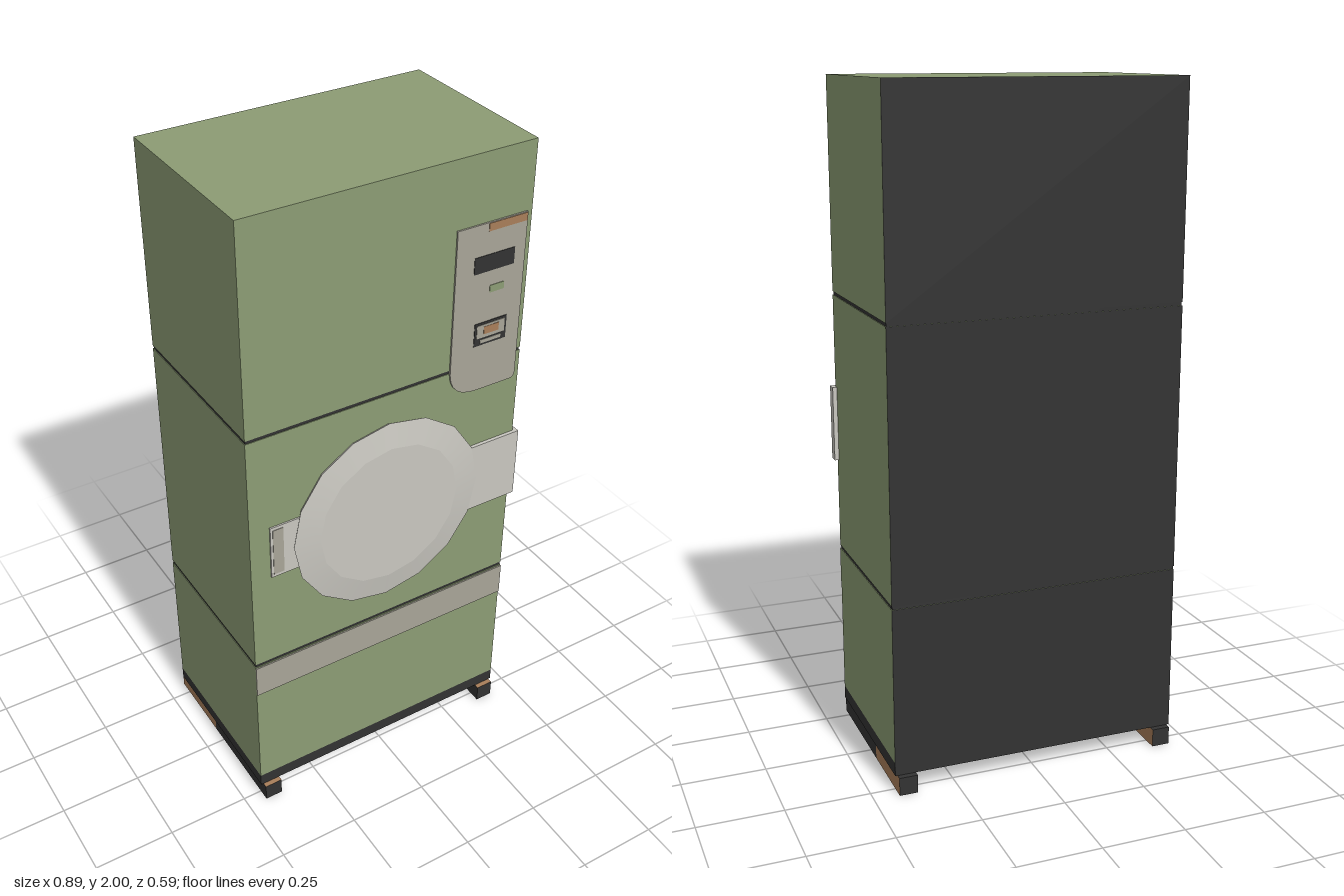
import * as THREE from 'three';

const mat = (name, color) => {
  const m = new THREE.MeshStandardMaterial({ color });
  m.name = name;
  return m;
};

export function createModel() {
  const green = mat('green enamel', 0x8c9c74);
  const dark = mat('dark metal', 0x333333);
  const pale = mat('pale door', 0xc9c7c0);
  const grey = mat('warm grey', 0xa8a598);
  const brown = mat('brown', 0xa87e5a);

  const model = new THREE.Group();
  model.name = 'tumbleDryer';

  const add = (name, geometry, material, parent = model) => {
    const mesh = new THREE.Mesh(geometry, material);
    mesh.name = name;
    parent.add(mesh);
    return mesh;
  };
  // Box given by its limits on each axis
  const box = (name, [x0, x1], [y0, y1], [z0, z1], material, parent) => {
    const mesh = add(name, new THREE.BoxGeometry(x1 - x0, y1 - y0, z1 - z0), material, parent);
    mesh.position.set((x0 + x1) / 2, (y0 + y1) / 2, (z0 + z1) / 2);
    return mesh;
  };

  const X = [-0.448, 0.432];
  const Z = [-0.275, 0.27];
  const inset = ([a, b]) => [a + 0.002, b - 0.002];

  // Cabinet: three green sections with dark backs, over a core that shows in the seams
  const section = [green, green, green, dark, green, dark];
  box('lowerCabinet', X, [0.095, 0.564], Z, section);
  box('middleCabinet', X, [0.574, 1.363], Z, section);
  box('upperCabinet', X, [1.373, 2], Z, section);
  box('seamCore', inset(X), [0.09, 1.9], inset(Z), dark);
  box('plinth', X, [0.055, 0.095], Z, dark);

  // Foot rails: sides brown at the rear, top and underside brown at the front
  for (const [side, x] of [['right', [-0.44, -0.385]], ['left', [0.37, 0.425]]]) {
    const rail = new THREE.Group();
    rail.name = side + 'FootRail';
    model.add(rail);
    box('railFront', x, [0, 0.055], [-0.055, 0.286], [dark, dark, brown, brown, dark, dark], rail);
    box('railRear', x, [0, 0.055], [-0.293, -0.055], [brown, brown, dark, dark, dark, dark], rail);
  }

  // Kick strip
  box('kickStrip', X, [0.452, 0.56], [0.269, 0.274], grey);

  // Round door: rim and bevelled face
  const door = new THREE.Group();
  door.name = 'door';
  door.position.set(-0.008, 0.967, 0);
  model.add(door);
  const disc = (name, rFront, rBack, z0, z1) => {
    const mesh = add(name, new THREE.CylinderGeometry(rFront, rBack, z1 - z0, 16), pale, door);
    mesh.rotation.x = Math.PI / 2;
    mesh.position.z = (z0 + z1) / 2;
  };
  disc('doorRim', 0.309, 0.3, 0.268, 0.281);
  disc('doorBevel', 0.23, 0.309, 0.281, 0.293);

  // Hinge plate wrapping round the cabinet edge
  box('hingePlate', [0.2, 0.446], [0.855, 1.083], [0.268, 0.2805], pale);
  box('hingeWrap', [0.433, 0.446], [0.855, 1.083], [0.25, 0.269], pale);

  // Door latch
  box('latchPlate', [-0.386, -0.29], [0.887, 1.062], [0.268, 0.275], pale);
  box('latchGrip', [-0.379, -0.346], [0.897, 1.052], [0.273, 0.2765], grey);

  // Control panel with rounded lower corners
  const s = new THREE.Shape();
  s.moveTo(0.19, 1.8);
  s.lineTo(0.19, 1.36);
  s.quadraticCurveTo(0.195, 1.28, 0.285, 1.28);
  s.lineTo(0.4, 1.28);
  s.quadraticCurveTo(0.416, 1.28, 0.416, 1.3);
  s.lineTo(0.416, 1.8);
  const panel = add('controlPanel',
    new THREE.ExtrudeGeometry(s, { depth: 0.006, bevelEnabled: false, curveSegments: 6 }), grey);
  panel.position.z = 0.269;

  // Painted panel details
  const paint = (name, x, y, material, top = 0.2765) => box(name, x, y, [0.274, top], material);
  paint('panelTopStripe', [0.29, 0.414], [1.775, 1.798], brown);
  paint('display', [0.249, 0.38], [1.656, 1.706], dark);
  paint('greenMark', [0.305, 0.352], [1.588, 1.61], green);
  paint('screenFrame', [0.263, 0.37], [1.428, 1.5], dark);
  paint('screenFace', [0.27, 0.363], [1.452, 1.493], grey, 0.278);
  paint('screenMark', [0.293, 0.343], [1.462, 1.486], brown, 0.279);
  paint('screenSlot', [0.283, 0.352], [1.435, 1.446], grey, 0.278);

  return model;
}
